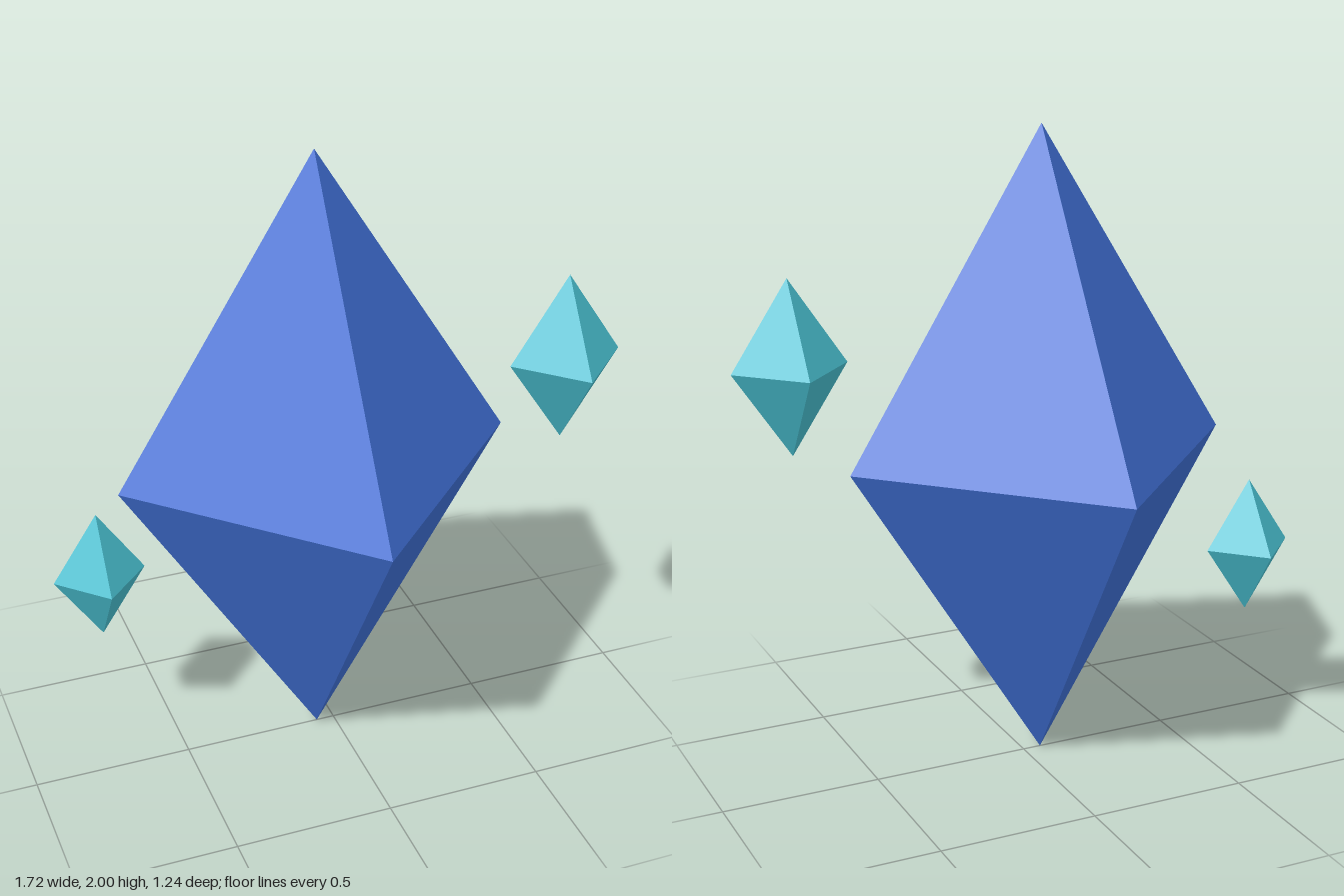
import * as THREE from 'three';

const crystalBlue = new THREE.MeshStandardMaterial({ color: 0x4070d6, flatShading: true });
crystalBlue.name = 'crystal blue';
const shardTeal = new THREE.MeshStandardMaterial({ color: 0x4ac2d3, flatShading: true });
shardTeal.name = 'shard teal';

// Stretched octahedron with its corners on the axes
function crystal(name, material, radius, halfHeight, x, y, z) {
  const geometry = new THREE.OctahedronGeometry(1, 0);
  geometry.scale(radius, halfHeight, radius);
  geometry.computeVertexNormals();
  const mesh = new THREE.Mesh(geometry, material);
  mesh.name = name;
  mesh.position.set(x, y, z);
  return mesh;
}

export function createModel() {
  const group = new THREE.Group();
  group.name = 'floatingCrystals';
  group.add(
    // Large central crystal
    crystal('mainCrystal', crystalBlue, 0.622, 1, -0.058, 1, 0),
    // Two small shards floating beside it
    crystal('leftShard', shardTeal, 0.181, 0.272, 0.678, 1.298, 0.181),
    crystal('rightShard', shardTeal, 0.145, 0.218, -0.719, 0.636, -0.148)
  );
  return group;
}
